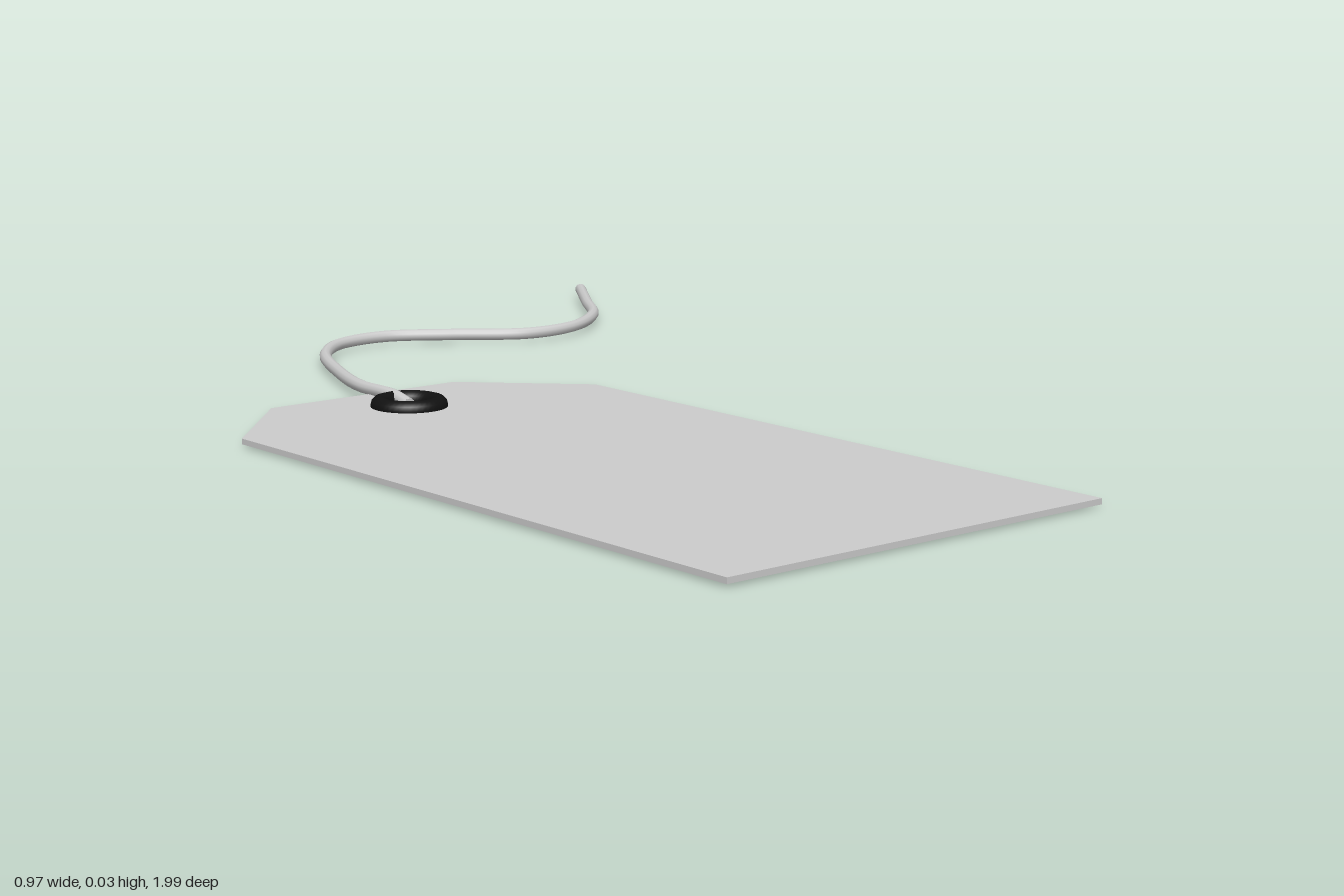
import * as THREE from 'three';

export function createModel() {
  const model = new THREE.Group();
  const material = (name, color) => {
    const m = new THREE.MeshStandardMaterial({ color });
    m.name = name;
    return m;
  };
  const cardGrey = material('card grey', 0xcccccc);
  const cordGrey = material('cord grey', 0xcccccc);
  const eyeletBlack = material('eyelet black', 0x111111);

  const add = (name, geometry, mat, parent = model) => {
    const mesh = new THREE.Mesh(geometry, mat);
    mesh.name = name;
    parent.add(mesh);
    return mesh;
  };

  const hole = { x: -0.193, z: -0.09 };

  // Thin card with clipped corners and a punched hole, outline as [x, z]
  const outline = [
    [-0.487, 0.04], [-0.213, 0.995], [0.4, 0.818],
    [0.125, -0.14], [-0.065, -0.243], [-0.383, -0.153],
  ];
  const shape = new THREE.Shape(outline.map(([x, z]) => new THREE.Vector2(x, -z)));
  const punched = new THREE.Path();
  punched.absarc(hole.x, -hole.z, 0.036, 0, Math.PI * 2, true);
  shape.holes.push(punched);
  const card = new THREE.ExtrudeGeometry(shape, { depth: 0.008, bevelEnabled: false, curveSegments: 24 });
  card.rotateX(-Math.PI / 2);
  add('tagCard', card, cardGrey).position.y = 0.004;

  // Reinforcing ring around the hole
  const ring = new THREE.TorusGeometry(0.043, 0.0138, 12, 40);
  ring.rotateX(Math.PI / 2);
  add('eyelet', ring, eyeletBlack).position.set(hole.x, 0.0138, hole.z);

  // Cord rising out of the hole and lying in a wave, points as [x, y, z]
  const cordRadius = 0.0095;
  const path = new THREE.CatmullRomCurve3([
    [-0.193, 0.014, -0.09], [-0.2, 0.02, -0.14], [-0.214, 0.017, -0.24],
    [-0.203, 0.0145, -0.37], [-0.172, 0.0145, -0.53], [-0.115, 0.0145, -0.618],
    [-0.025, 0.0145, -0.655], [0.08, 0.0145, -0.63], [0.2, 0.0145, -0.592],
    [0.295, 0.0145, -0.625], [0.378, 0.0145, -0.725], [0.422, 0.0145, -0.85],
    [0.473, 0.0145, -0.996],
  ].map((p) => new THREE.Vector3(...p)));
  const cord = new THREE.Group();
  cord.name = 'cord';
  model.add(cord);
  add('cordStrand', new THREE.TubeGeometry(path, 120, cordRadius, 10), cordGrey, cord);

  // Flat ends of the cord
  for (const [t, direction] of [[0, -1], [1, 1]]) {
    const cap = add('cordEnd', new THREE.CircleGeometry(cordRadius, 10), cordGrey, cord);
    cap.position.copy(path.getPointAt(t));
    cap.quaternion.setFromUnitVectors(
      new THREE.Vector3(0, 0, 1),
      path.getTangentAt(t).multiplyScalar(direction),
    );
  }

  return model;
}
